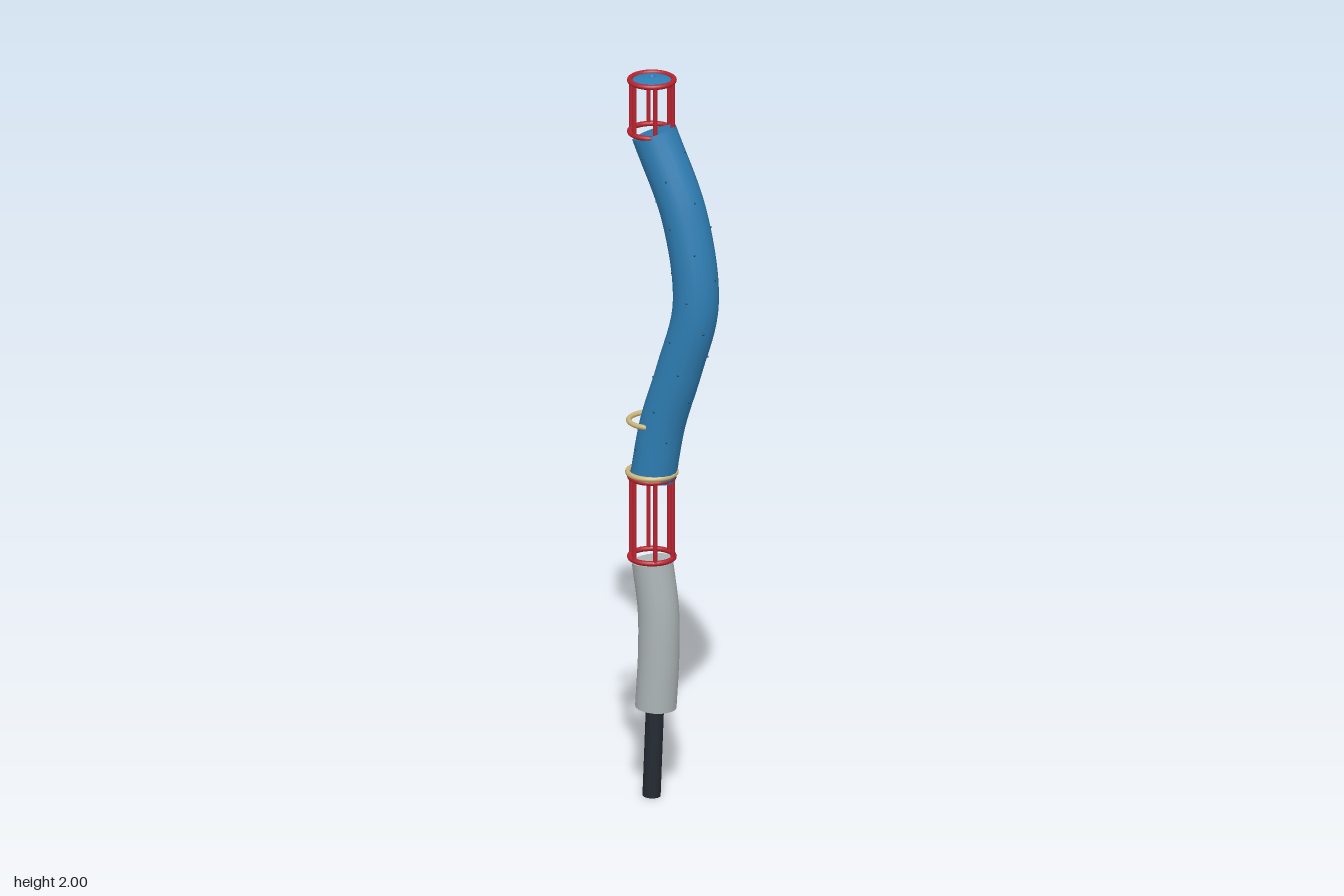
import * as THREE from 'three';

const V = (x, y, z) => new THREE.Vector3(x, y, z);
const material = (color) => new THREE.MeshStandardMaterial({ color, side: THREE.DoubleSide });
const blue = material(0x2f7fb5);
const red = material(0xb8232f);
const tan = material(0xcdb67c);
const grey = material(0xadb5b7);
const dark = material(0x252a33);
const studBlue = material(0x1d4a6b);

function add(parent, name, geometry, mat, x = 0, y = 0, z = 0) {
  const mesh = new THREE.Mesh(geometry, mat);
  mesh.name = name;
  mesh.position.set(x, y, z);
  parent.add(mesh);
  return mesh;
}

// Bent rod with flat ends square to its path
function bentRod(parent, name, points, radius, sides, mat) {
  const group = new THREE.Group();
  group.name = name;
  const curve = new THREE.CatmullRomCurve3(points);
  add(group, name + 'Wall', new THREE.TubeGeometry(curve, 40, radius, sides), mat);
  for (const t of [0, 1]) {
    const dir = curve.getTangent(t).multiplyScalar(t ? 1 : -1);
    const p = curve.getPoint(t);
    const end = add(group, name + 'End', new THREE.CircleGeometry(radius, sides), mat, p.x, p.y, p.z);
    end.quaternion.setFromUnitVectors(V(0, 0, 1), dir);
  }
  parent.add(group);
  return curve;
}

function ring(parent, name, radius, tube, mat, x, y, z) {
  add(parent, name, new THREE.TorusGeometry(radius, tube, 10, 28), mat, x, y, z).rotation.x = Math.PI / 2;
}

// Two rings joined by six upright bars
function cage(parent, name, x, z, y0, y1) {
  const group = new THREE.Group();
  group.name = name;
  const r = 0.058;
  for (const y of [y0, y1]) ring(group, 'cageRing', r, 0.007, red, x, y, z);
  for (let i = 0; i < 6; i++) {
    const a = (i * Math.PI) / 3;
    add(group, 'cageBar', new THREE.CylinderGeometry(0.006, 0.006, y1 - y0, 8), red,
      x + r * Math.cos(a), (y0 + y1) / 2, z + r * Math.sin(a));
  }
  parent.add(group);
}

export function createModel() {
  const model = new THREE.Group();
  model.name = 'bentStaff';
  const cx = -0.062, cz = -0.004;

  // Lower shaft and grip
  bentRod(model, 'shaft', [V(-0.063, 0.002, cz), V(-0.058, 0.13, cz), V(-0.053, 0.26, cz)], 0.024, 12, dark);
  bentRod(model, 'grip', [V(-0.051, 0.25, cz), V(-0.043, 0.4, cz), V(-0.044, 0.52, cz), V(-0.061, 0.655, cz)], 0.054, 20, grey);

  // Curved main body
  const body = bentRod(model, 'body', [
    V(-0.058, 0.89, -0.003), V(-0.03, 1.04, 0.001), V(0.02, 1.2, 0.008),
    V(0.067, 1.385, 0.013), V(0.034, 1.62, 0.007), V(-0.055, 1.842, -0.001),
  ], 0.06, 16, blue);

  // Tiny studs spiralling over the body
  const studs = new THREE.Group();
  studs.name = 'studs';
  const studShape = new THREE.SphereGeometry(0.003, 6, 4);
  for (let i = 0; i < 36; i++) {
    const t = 0.05 + (0.9 * i) / 35;
    const a = i * 2.4;
    const p = body.getPointAt(t);
    const dir = body.getTangentAt(t);
    const out = V(Math.cos(a), 0, Math.sin(a)).projectOnPlane(dir).setLength(0.06);
    p.add(out);
    add(studs, 'stud', studShape, studBlue, p.x, p.y, p.z);
  }
  model.add(studs);

  // Open cages below and above the body
  cage(model, 'lowerCage', cx, cz, 0.665, 0.888);
  cage(model, 'upperCage', cx, cz, 1.843, 1.985);

  // Collar and offset loop
  ring(model, 'collar', 0.063, 0.007, tan, cx, 0.9, cz);
  ring(model, 'sideLoop', 0.061, 0.007, tan, -0.064, 1.04, -0.011);

  // Shallow lid with a small tip
  const lid = [[0, 1.98], [0.056, 1.98], [0.056, 1.984], [0.03, 1.99], [0, 1.994]];
  add(model, 'lid', new THREE.LatheGeometry(lid.map(([r, y]) => new THREE.Vector2(r, y)), 28), blue, cx, 0, cz);
  add(model, 'lidTip', new THREE.SphereGeometry(0.007, 12, 8), blue, cx, 1.993, cz);
  return model;
}
